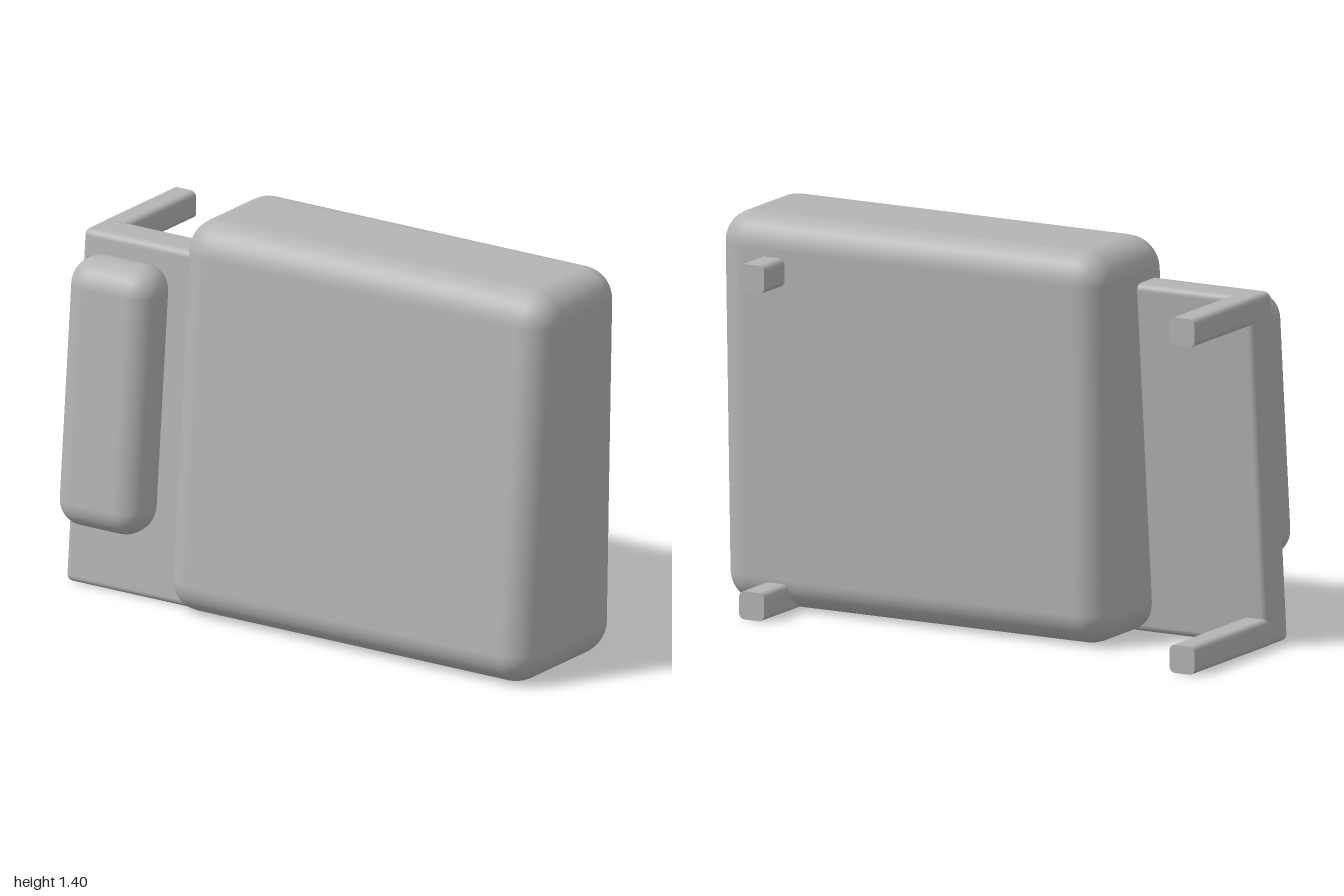
import * as THREE from 'three';
import { RoundedBoxGeometry } from 'three/addons/geometries/RoundedBoxGeometry.js';
import { mergeVertices } from 'three/addons/utils/BufferGeometryUtils.js';

const grey = new THREE.MeshStandardMaterial({ color: 0xb4b4b4 });
grey.name = 'plain grey';

function add(group, name, geometry) {
  const mesh = new THREE.Mesh(geometry, grey);
  mesh.name = name;
  group.add(mesh);
}

// Rounded slab whose front and back planes lean with height.
// front and back are [z at y = 0, change of z per unit of y].
function leaningSlab([x0, x1], [y0, y1], front, back, radius, segments) {
  const midY = (y0 + y1) / 2;
  const zAt = (line, y) => line[0] + line[1] * y;
  const depth = zAt(front, midY) - zAt(back, midY);
  const box = new RoundedBoxGeometry(x1 - x0, y1 - y0, depth, segments, radius);
  box.translate((x0 + x1) / 2, midY, 0);
  const p = box.attributes.position;
  for (let i = 0; i < p.count; i++) {
    const y = p.getY(i);
    const t = p.getZ(i) / depth + 0.5;
    p.setZ(i, THREE.MathUtils.lerp(zAt(back, y), zAt(front, y), t));
  }
  // weld the faces so the rounded edges shade smoothly
  box.deleteAttribute('normal');
  box.deleteAttribute('uv');
  box.clearGroups();
  const welded = mergeVertices(box, 1e-4);
  welded.computeVertexNormals();
  return welded;
}

// Square peg with rounded long edges and flat ends, along z.
function peg(x, y, z0, z1) {
  const s = 0.1, r = 0.022;
  const shape = new THREE.Shape();
  shape.moveTo(r, 0);
  shape.lineTo(s - r, 0).absarc(s - r, r, r, -Math.PI / 2, 0);
  shape.lineTo(s, s - r).absarc(s - r, s - r, r, 0, Math.PI / 2);
  shape.lineTo(r, s).absarc(r, s - r, r, Math.PI / 2, Math.PI);
  shape.lineTo(0, r).absarc(r, r, r, Math.PI, Math.PI * 1.5);
  const g = new THREE.ExtrudeGeometry(shape, { depth: z1 - z0, bevelEnabled: false, curveSegments: 4 });
  return g.translate(x, y, z0);
}

export function createModel() {
  const group = new THREE.Group();
  group.name = 'paddedPanel';

  // large tapered block
  add(group, 'mainBlock', leaningSlab([-0.54, 1], [0, 1.4], [0.333, -0.091], [-0.253, -0.021], 0.115, 5));

  // thin plate beside it, with a cushion on its front
  add(group, 'sidePlate', leaningSlab([-1, -0.44], [0, 1.26], [0.238, -0.091], [0.093, -0.091], 0.025, 3));
  add(group, 'cushion', leaningSlab([-0.94, -0.58], [0.265, 1.22], [0.45, -0.091], [0.25, -0.091], 0.095, 5));

  // four pegs pointing backwards
  add(group, 'upperPlatePeg', peg(-1, 1.16, -0.42, 0));
  add(group, 'lowerPlatePeg', peg(-1, 0, -0.42, 0.11));
  add(group, 'upperBlockPeg', peg(0.72, 1.16, -0.42, -0.17));
  add(group, 'lowerBlockPeg', peg(0.72, 0, -0.42, -0.16));

  return group;
}
